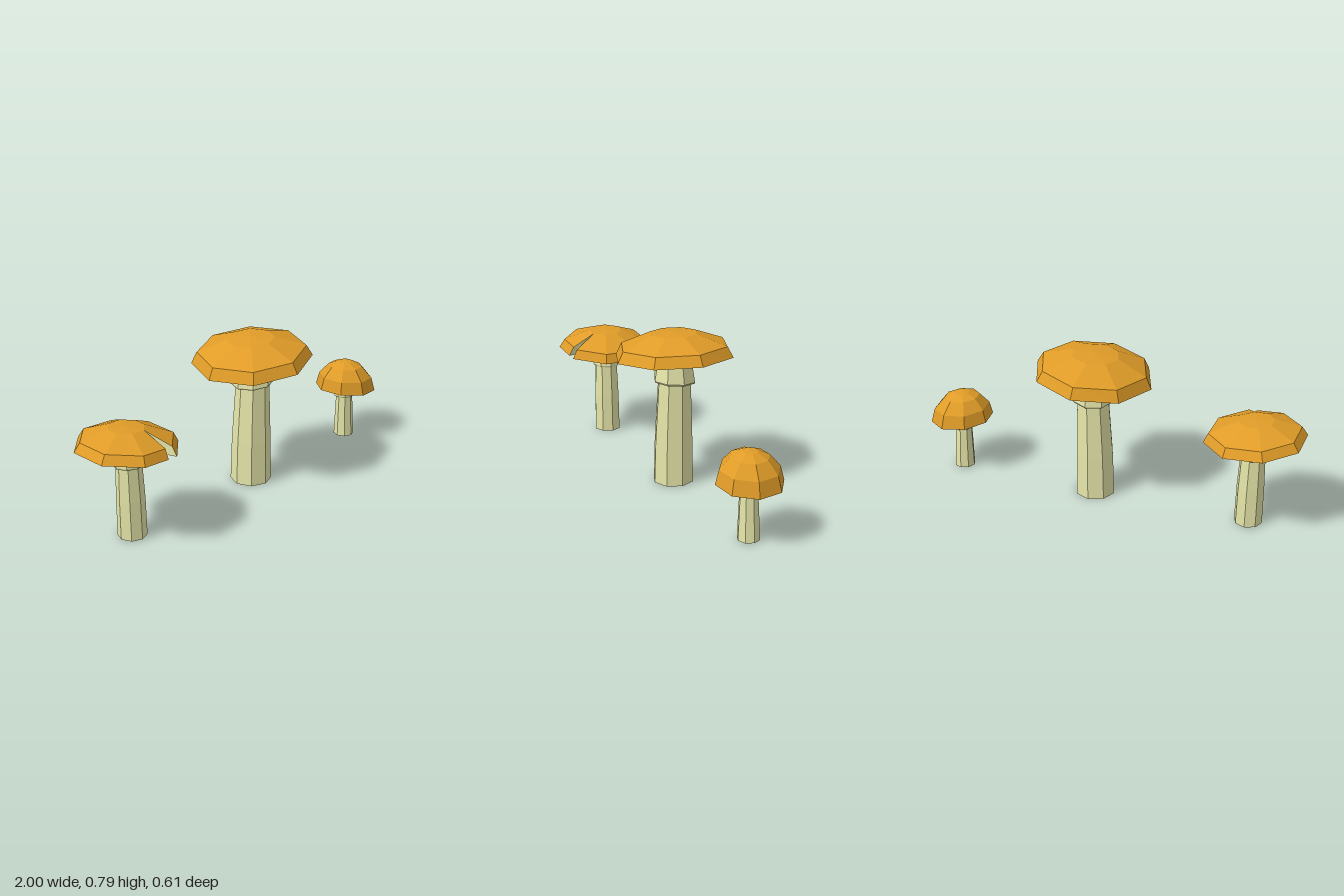
import * as THREE from 'three';

const capMat = new THREE.MeshStandardMaterial({ color: 0xe09c28, flatShading: true });
const fleshMat = new THREE.MeshStandardMaterial({ color: 0xe6e6aa, flatShading: true, side: THREE.DoubleSide });
const SIDES = 8;

// One tilted cross-section: centre (x, y), radius r, slopes along x and z.
// With a cut value the loop is left open, its first corner sliding towards the second.
function ringPoints({ x, y, r, sx = 0, sz = 0, cut }, turn) {
  const pts = [];
  for (let i = 0; i < SIDES; i++) {
    const a = THREE.MathUtils.degToRad(turn) + (i / SIDES) * Math.PI * 2;
    const dx = r * Math.cos(a), dz = r * Math.sin(a);
    pts.push(new THREE.Vector3(x + dx, y + sx * dx + sz * dz, dz));
  }
  const first = pts[0].clone();
  if (cut !== undefined) pts[0].lerp(pts[1], cut);
  pts.push(first.clone());
  return pts;
}

function meshFrom(name, tris, material) {
  const geo = new THREE.BufferGeometry().setFromPoints(tris);
  geo.computeVertexNormals();
  const mesh = new THREE.Mesh(geo, material);
  mesh.name = name;
  return mesh;
}

// Faceted skin through rings listed from bottom to top
function loft(name, rings, turn, material) {
  const loops = rings.map((ring) => ringPoints(ring, turn));
  const tris = [];
  for (let k = 0; k + 1 < loops.length; k++) {
    const lo = loops[k], up = loops[k + 1];
    for (let i = 0; i < SIDES; i++) {
      if (rings[k + 1].r > 0) tris.push(lo[i], up[i], up[i + 1]);
      if (rings[k].r > 0) tris.push(lo[i], up[i + 1], lo[i + 1]);
    }
  }
  return meshFrom(name, tris, material);
}

function mushroom({ name, stem, skirt, cap, apex, turn, notch }) {
  const group = new THREE.Group();
  group.name = name;

  // Stem, closed at the foot
  group.add(loft('stem', [{ ...stem[0], r: 0 }, ...stem], 0, fleshMat));

  // Flared skirt with a thin lip turned back under it
  const [hem, top] = skirt;
  const lip = { ...hem, r: hem.r * 0.96, y: hem.y - 0.008 };
  group.add(loft('skirt', [{ ...lip, r: hem.r * 0.75 }, lip, hem, top], 0, fleshMat));

  // Cap top and pale underside
  const rim = cap[0];
  const inner = { ...rim, r: cap[cap.length - 1].r, cut: notch ? 0 : undefined };
  group.add(loft('cap', [...cap, { ...apex, r: 0 }], turn, capMat));
  group.add(loft('capUnderside', [{ ...rim, r: 0, cut: undefined }, inner, rim], turn, fleshMat));

  // Flesh on the two walls of the notch
  if (notch) {
    const loops = [inner, ...cap].map((ring) => ringPoints(ring, turn));
    const tris = [];
    for (const i of [0, SIDES]) {
      for (let k = 1; k + 1 < loops.length; k++) {
        tris.push(loops[0][i], loops[k][i], loops[k + 1][i]);
      }
    }
    group.add(meshFrom('notchWalls', tris, fleshMat));
  }
  return group;
}

export function createModel() {
  const model = new THREE.Group();
  model.name = 'mushrooms';

  model.add(mushroom({
    name: 'tallMushroom',
    turn: 0,
    stem: [
      { x: 0.075, y: 0, r: 0.106 },
      { x: 0.077, y: 0.23, r: 0.1 },
      { x: 0.085, y: 0.53, r: 0.086 },
      { x: 0.084, y: 0.69, r: 0.07 },
    ],
    skirt: [
      { x: 0.085, y: 0.541, r: 0.108, sx: 0.04, sz: 0.07 },
      { x: 0.082, y: 0.69, r: 0.084, sx: 0.09 },
    ],
    cap: [
      { x: 0.08, y: 0.667, r: 0.306, sx: 0.09 },
      { x: 0.077, y: 0.723, r: 0.276, sx: 0.085 },
      { x: 0.07, y: 0.782, r: 0.122, sx: 0.07 },
    ],
    apex: { x: 0.07, y: 0.79 },
  }));

  model.add(mushroom({
    name: 'notchedMushroom',
    turn: 67.5,
    notch: true,
    stem: [
      { x: -0.753, y: 0, r: 0.072 },
      { x: -0.755, y: 0.2, r: 0.07 },
      { x: -0.758, y: 0.38, r: 0.063 },
      { x: -0.765, y: 0.475, r: 0.05 },
    ],
    skirt: [
      { x: -0.764, y: 0.384, r: 0.074, sx: -0.04, sz: 0.04 },
      { x: -0.768, y: 0.475, r: 0.062, sx: -0.075 },
    ],
    cap: [
      { x: -0.765, y: 0.472, r: 0.255, sx: -0.075, cut: 0.27 },
      { x: -0.761, y: 0.518, r: 0.228, sx: -0.075, cut: 0.24 },
      { x: -0.765, y: 0.573, r: 0.09, sx: -0.04, cut: 0 },
    ],
    apex: { x: -0.765, y: 0.578 },
  }));

  model.add(mushroom({
    name: 'smallMushroom',
    turn: 14,
    stem: [
      { x: 0.84, y: 0, r: 0.055 },
      { x: 0.837, y: 0.12, r: 0.05 },
      { x: 0.834, y: 0.23, r: 0.045 },
      { x: 0.835, y: 0.285, r: 0.035 },
    ],
    skirt: [
      { x: 0.833, y: 0.239, r: 0.055, sx: -0.08, sz: 0.09 },
      { x: 0.836, y: 0.285, r: 0.044, sx: -0.1 },
    ],
    cap: [
      { x: 0.84, y: 0.283, r: 0.164, sx: -0.09 },
      { x: 0.838, y: 0.354, r: 0.145, sx: -0.07 },
      { x: 0.835, y: 0.412, r: 0.094, sx: -0.06 },
      { x: 0.835, y: 0.436, r: 0.04, sx: -0.03 },
    ],
    apex: { x: 0.835, y: 0.441 },
  }));

  return model;
}
